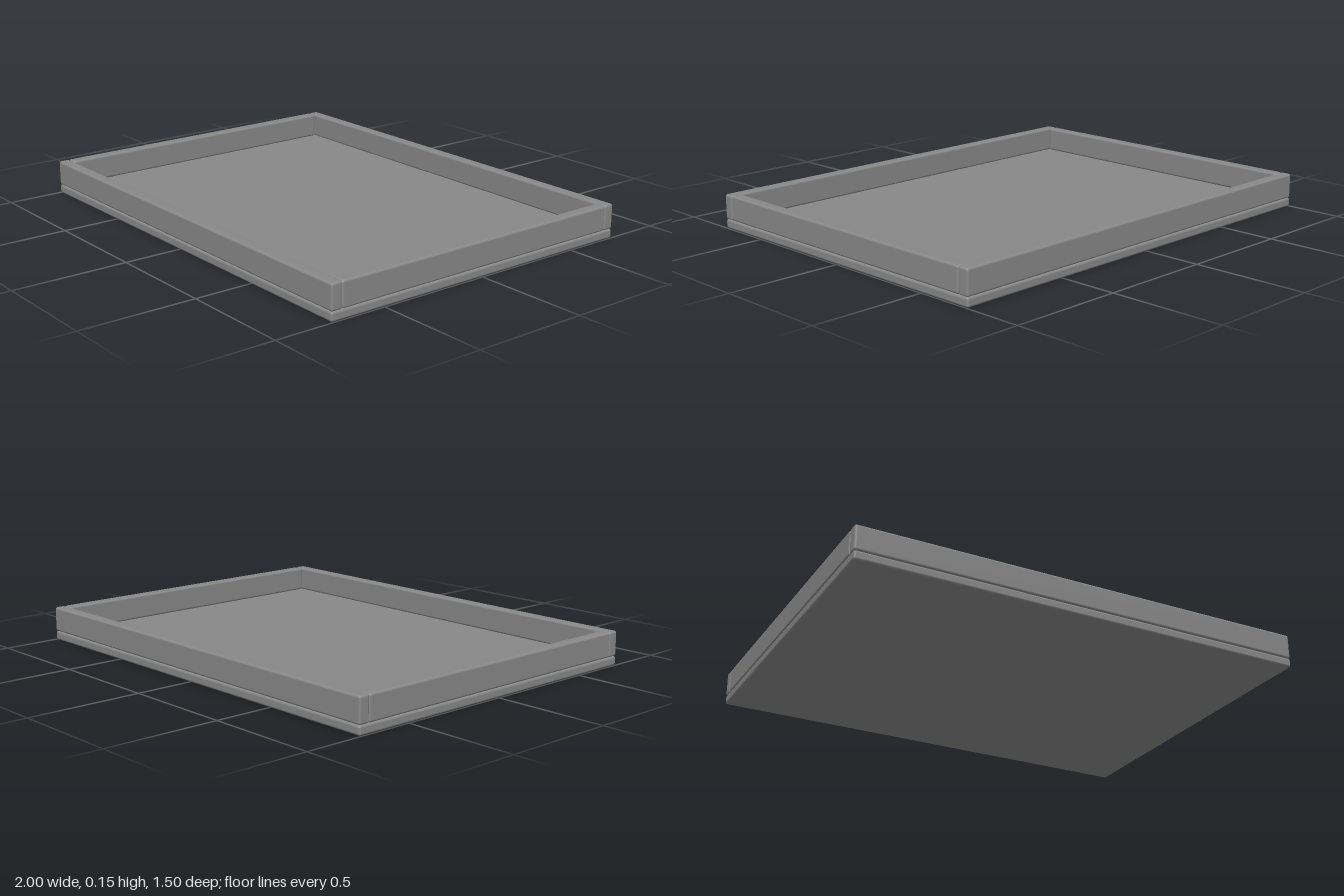
import * as THREE from 'three';
import { RoundedBoxGeometry } from 'three/addons/geometries/RoundedBoxGeometry.js';

export function createModel() {
  const tray = new THREE.Group();
  tray.name = 'tray';
  const grey = new THREE.MeshStandardMaterial({ color: 0x888888 });
  grey.name = 'grey';

  const baseHeight = 0.04, railHeight = 0.11, railWidth = 0.05;
  const width = 2, depth = 1.5;

  // A board with softly rounded edges, placed by its underside
  function board(name, w, h, d, x, y, z) {
    const mesh = new THREE.Mesh(new RoundedBoxGeometry(w, h, d, 3, 0.01), grey);
    mesh.name = name;
    mesh.position.set(x, y + h / 2, z);
    tray.add(mesh);
  }

  // Flat bottom board
  board('base', width, baseHeight, depth, 0, 0, 0);

  // Long rails run the full width; short rails fit between them
  for (const side of [1, -1]) {
    board(side > 0 ? 'frontRail' : 'backRail', width, railHeight, railWidth,
      0, baseHeight, side * (depth - railWidth) / 2);
    board(side > 0 ? 'leftRail' : 'rightRail', railWidth, railHeight, depth - 2 * railWidth,
      side * (width - railWidth) / 2, baseHeight, 0);
  }
  return tray;
}
